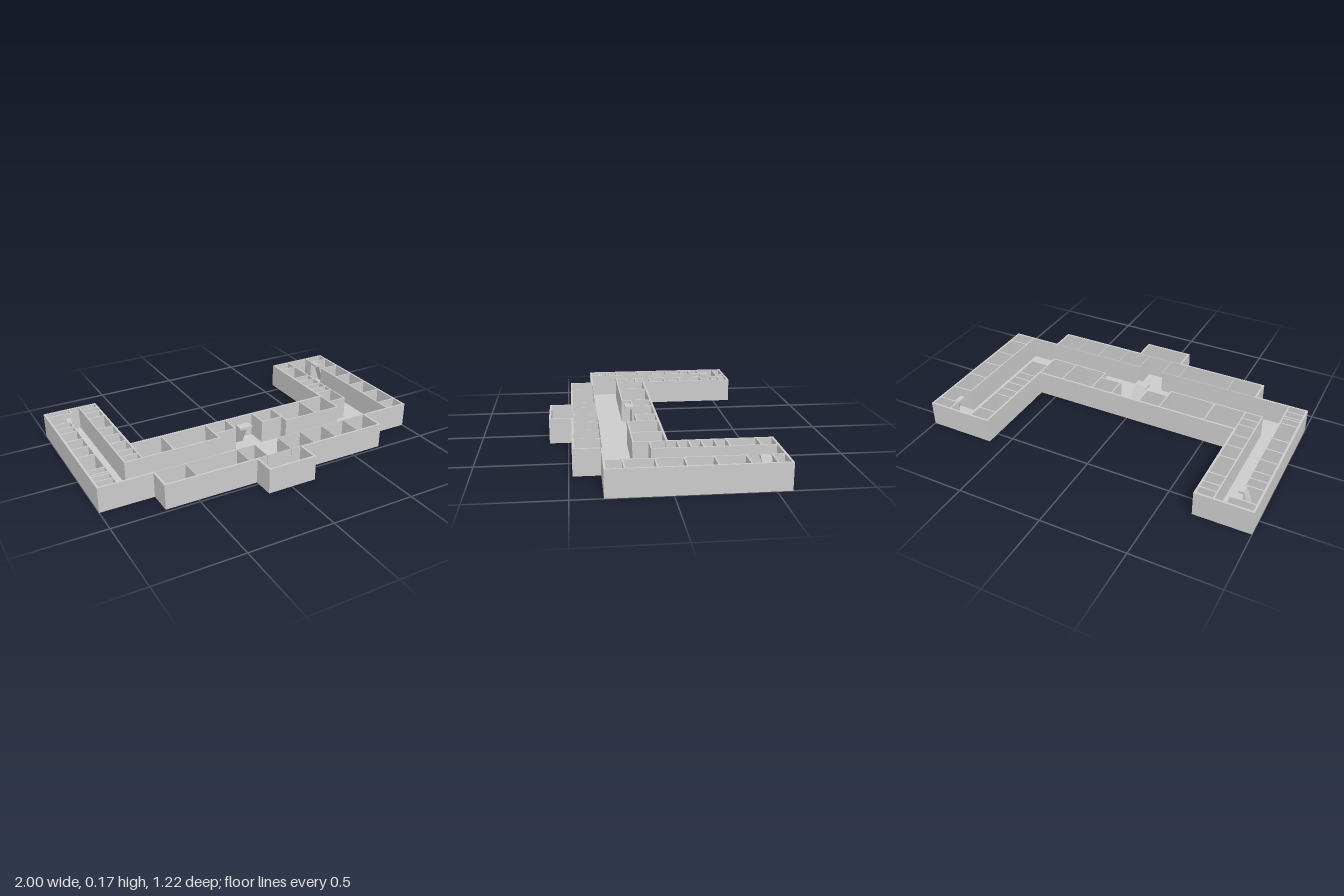
import * as THREE from 'three';

const H = 0.147, FLOOR = 0.01, OUTER = 0.012, INNER = 0.008, THIN = 0.003;
const material = new THREE.MeshStandardMaterial({ color: 0xcccccc, flatShading: true });

// Footprint corners as (x, z), walked so that the inside is always on the same hand
const outline = [
  [-1, -0.608], [-0.675, -0.608], [-0.675, -0.018], [0.604, -0.018], [0.604, -0.58], [1, -0.58],
  [1, 0.335], [0.695, 0.335], [0.695, 0.481], [0.151, 0.481], [0.151, 0.608], [-0.144, 0.608],
  [-0.144, 0.481], [-0.69, 0.481], [-0.69, 0.342], [-1, 0.342],
];

// Move each right-angled corner inward by t
function inset(points, t) {
  const n = points.length;
  const normal = (a, b) => [-Math.sign(b[1] - a[1]), Math.sign(b[0] - a[0])];
  return points.map((p, i) => {
    const n1 = normal(points[(i + n - 1) % n], p), n2 = normal(p, points[(i + 1) % n]);
    return [p[0] + t * (n1[0] + n2[0]), p[1] + t * (n1[1] + n2[1])];
  });
}

const toVectors = (points) => points.map(([x, z]) => new THREE.Vector2(x, -z));

function addMesh(parent, name, geometry) {
  const mesh = new THREE.Mesh(geometry, material);
  mesh.name = name;
  parent.add(mesh);
}

// Extrude a plan shape upwards from the ground
function extrudePlan(shape, height) {
  return new THREE.ExtrudeGeometry(shape, { depth: height, bevelEnabled: false }).rotateX(-Math.PI / 2);
}

// Straight wall between two plan points along x or z
function wall(parent, x0, z0, x1, z1, t = INNER) {
  const h = H - FLOOR;
  const geometry = new THREE.BoxGeometry(Math.abs(x1 - x0) + t, h, Math.abs(z1 - z0) + t);
  geometry.translate((x0 + x1) / 2, FLOOR + h / 2, (z0 + z1) / 2);
  addMesh(parent, 'partitionWall', geometry);
}

// Row of cross walls at the listed positions
const acrossX = (g, zs, x0, x1) => zs.forEach((z) => wall(g, x0, z, x1, z));
const acrossZ = (g, xs, z0, z1, t) => xs.forEach((x) => wall(g, x, z0, x, z1, t));

// Sloped stair slab climbing along local +x to a flat landing
function stair(name, width, run, landing, top) {
  const shape = new THREE.Shape(
    [[0, FLOOR], [run, top], [run + landing, top], [run + landing, top - 0.015], [run + 0.005, top - 0.015], [0.014, FLOOR]]
      .map(([x, y]) => new THREE.Vector2(x, y)),
  );
  const geometry = new THREE.ExtrudeGeometry(shape, { depth: width, bevelEnabled: false });
  geometry.translate(0, 0, -width / 2);
  const group = new THREE.Group();
  group.name = name;
  addMesh(group, 'stairFlight', geometry);
  return group;
}

export function createModel() {
  const model = new THREE.Group();
  model.name = 'floorPlanBuilding';
  const section = (name) => {
    const g = new THREE.Group();
    g.name = name;
    model.add(g);
    return g;
  };

  // Floor slab and outer walls; the hole runs the opposite way so its faces look inward
  addMesh(model, 'floorSlab', extrudePlan(new THREE.Shape(toVectors(outline)), FLOOR));
  const ring = new THREE.Shape(toVectors(outline));
  ring.holes.push(new THREE.Path(toVectors(inset(outline, OUTER)).reverse()));
  addMesh(model, 'outerWalls', extrudePlan(ring, H));

  // Wing on the -x side: two rows of rooms along a corridor
  const west = section('rightWingRooms');
  wall(west, -0.782, -0.602, -0.782, 0.165);
  acrossX(west, [-0.548, -0.498, -0.42, -0.268, -0.163, -0.063, 0.037, 0.102], -0.782, -0.681);
  wall(west, -0.681, -0.018, -0.681, 0.165);
  wall(west, -0.889, -0.433, -0.889, 0.334);
  acrossX(west, [-0.433, -0.37, -0.308, -0.203, -0.103, 0, 0.157, 0.207, 0.229, 0.279], -0.993, -0.889);
  wall(west, -0.993, -0.548, -0.847, -0.548);
  wall(west, -0.847, -0.602, -0.847, -0.548);

  // Wing on the +x side
  const east = section('leftWingRooms');
  wall(east, 0.725, -0.574, 0.725, 0.08);
  acrossX(east, [-0.487, -0.324, -0.259, -0.189, -0.124, -0.064, 0.08], 0.61, 0.725);
  wall(east, 0.61, -0.018, 0.61, 0.165);
  wall(east, 0.871, -0.374, 0.871, 0.327);
  acrossX(east, [-0.374, -0.214, -0.064, 0.08, 0.237], 0.871, 0.993);
  wall(east, 0.871, -0.574, 0.871, -0.503);
  wall(east, 0.871, -0.503, 0.993, -0.503);

  // Rooms along the back of the middle block, open at the stair hall
  const back = section('backRooms');
  wall(back, -0.782, 0.165, -0.209, 0.165);
  wall(back, 0.24, 0.165, 0.61, 0.165);
  acrossZ(back, [-0.491, -0.209, 0.24, 0.448], -0.012, 0.165);
  acrossZ(back, [-0.076, 0.106], -0.012, 0.111);
  wall(back, -0.209, 0.111, -0.076, 0.111);
  wall(back, 0.106, 0.111, 0.24, 0.111);

  // Rooms along the front, split by the entrance passage
  const front = section('frontRooms');
  wall(front, -0.683, 0.334, -0.075, 0.334, THIN);
  wall(front, 0.08, 0.327, 0.69, 0.327, THIN);
  acrossZ(front, [-0.503, -0.188, -0.075, 0.08, 0.23, 0.379, 0.532], 0.332, 0.472, THIN);
  wall(front, -0.138, 0.47, 0.145, 0.47, THIN);

  // Stairs: one in the hall, one at the end of each wing
  const hallStair = stair('hallStair', 0.08, 0.08, 0.05, 0.165);
  hallStair.rotation.y = -Math.PI / 2;
  hallStair.position.set(-0.03, 0, 0.03);
  const westStair = stair('rightWingStair', 0.05, 0.05, 0.03, 0.145);
  westStair.position.set(-0.952, 0, -0.463);
  const eastStair = stair('leftWingStair', 0.055, 0.05, 0.03, 0.145);
  eastStair.rotation.y = Math.PI;
  eastStair.position.set(0.947, 0, -0.468);
  model.add(hallStair, westStair, eastStair);

  return model;
}
